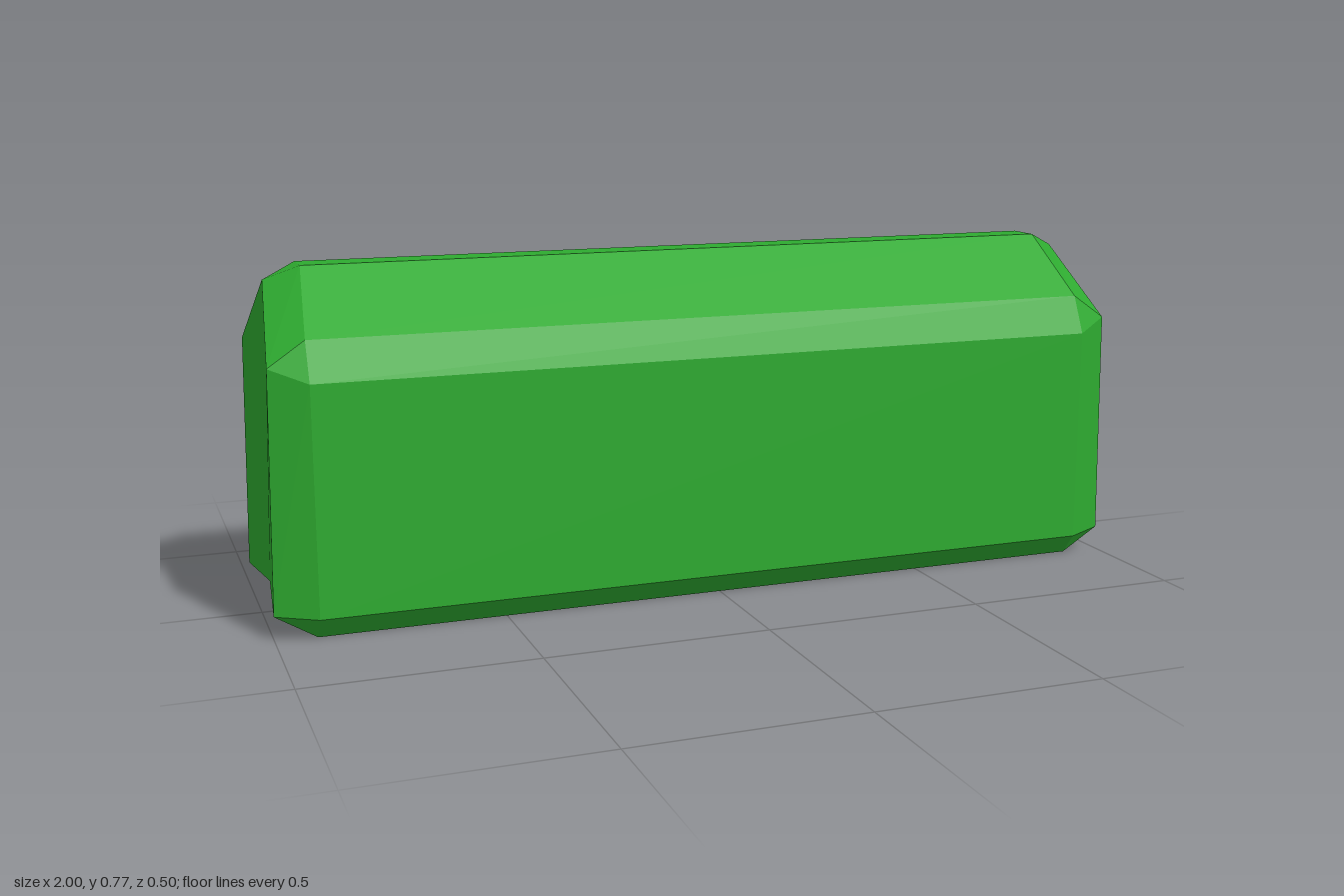
import * as THREE from 'three';

// Half cross-sections as [x, y, z], from bottom centre over the +z side to the ridge.
const bodyHalf = [
  [0.91, 0, 0], [0.91, 0, 0.21], [0.91, 0.05, 0.25],
  [0.91, 0.55, 0.25], [0.91, 0.635, 0.21], [0.89, 0.767, 0.04],
];
// Matching points on the slightly hollowed end face; doubled points close the corner chamfers.
const endHalf = [
  [0.98, 0.07, 0], [1, 0.055, 0.21], [1, 0.055, 0.21],
  [0.99, 0.58, 0.21], [0.99, 0.58, 0.21], [0.965, 0.735, 0],
];

// Mirror a half section in z to a closed loop, placed at the left (+1) or right (-1) end.
function ring(half, side) {
  const mirrored = half.slice(1).reverse().map(([x, y, z]) => [x, y, -z]);
  return [...half, ...mirrored].map(([x, y, z]) => new THREE.Vector3(x * side, y, z));
}

function chamferedBar() {
  const rings = [ring(endHalf, -1), ring(bodyHalf, -1), ring(bodyHalf, 1), ring(endHalf, 1)];
  const n = rings[0].length;
  const points = [];
  const tri = (a, b, c) => {
    const area = b.clone().sub(a).cross(c.clone().sub(a)).length();
    if (area > 1e-7) points.push(a, b, c);
  };

  // Skin between neighbouring loops
  for (let r = 0; r < rings.length - 1; r++) {
    for (let i = 0; i < n; i++) {
      const j = (i + 1) % n;
      const [p, q] = [rings[r], rings[r + 1]];
      tri(p[i], q[i], q[j]);
      tri(p[i], q[j], p[j]);
    }
  }
  // End faces, fanned from the bottom centre
  const [right, left] = [rings[0], rings[3]];
  for (let i = 1; i < n - 1; i++) {
    tri(right[0], right[i], right[i + 1]);
    tri(left[0], left[i + 1], left[i]);
  }

  const geometry = new THREE.BufferGeometry().setFromPoints(points);
  geometry.computeVertexNormals();
  return geometry;
}

export function createModel() {
  const group = new THREE.Group();
  group.name = 'hedge';
  const material = new THREE.MeshStandardMaterial({ color: 0x2eaa30, flatShading: true });
  const body = new THREE.Mesh(chamferedBar(), material);
  body.name = 'hedgeBody';
  group.add(body);
  return group;
}
